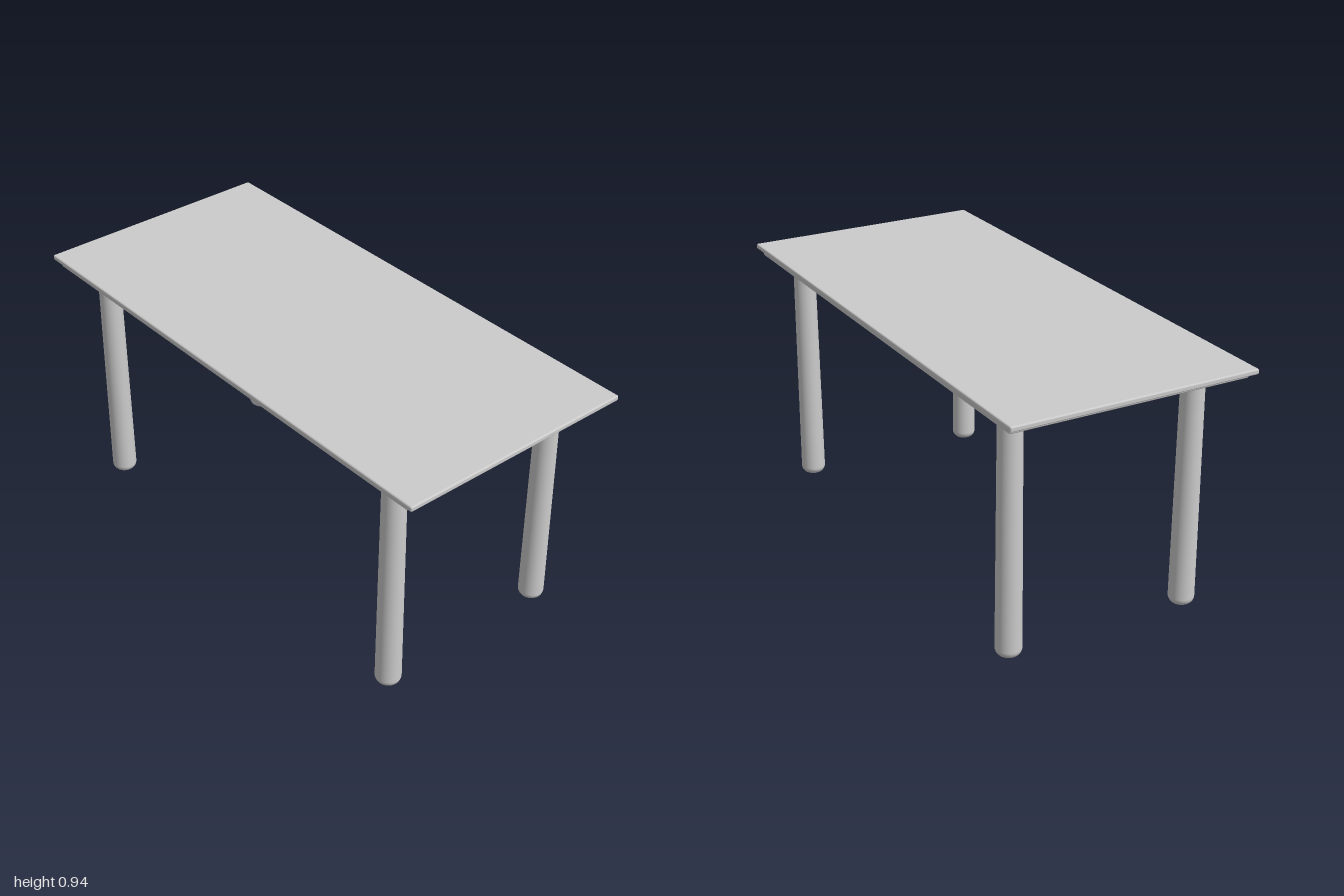
import * as THREE from 'three';
import { RoundedBoxGeometry } from 'three/addons/geometries/RoundedBoxGeometry.js';

export function createModel() {
  const table = new THREE.Group();
  table.name = 'table';
  const material = new THREE.MeshStandardMaterial({ color: 0xcccccc });

  const add = (name, geometry, x, y, z) => {
    const mesh = new THREE.Mesh(geometry, material);
    mesh.name = name;
    mesh.position.set(x, y, z);
    table.add(mesh);
  };

  // Softly rounded slabs: the top overhangs a slightly smaller one below
  const addSlab = (name, width, depth, bottom, top) =>
    add(name, new RoundedBoxGeometry(width, top - bottom, depth, 3, 0.006), 0, (bottom + top) / 2, 0);
  addSlab('tableTop', 2, 0.934, 0.92, 0.94);
  addSlab('underSlab', 1.936, 0.904, 0.899, 0.924);

  // Tapered round leg, widest near the floor, with a rounded foot
  const footRadius = 0.047, topRadius = 0.042, fillet = 0.03;
  const profile = [new THREE.Vector2(0, 0)];
  for (let i = 0; i <= 8; i++) {
    const a = (i / 8) * Math.PI / 2;
    profile.push(new THREE.Vector2(
      footRadius - fillet + fillet * Math.sin(a),
      fillet - fillet * Math.cos(a)
    ));
  }
  profile.push(new THREE.Vector2(topRadius, 0.905));
  const legGeometry = new THREE.LatheGeometry(profile, 32);

  for (const [side, x] of [['Left', 0.8], ['Right', -0.8]]) {
    add('front' + side + 'Leg', legGeometry, x, 0, 0.352);
    add('back' + side + 'Leg', legGeometry, x, 0, -0.352);
  }
  return table;
}
